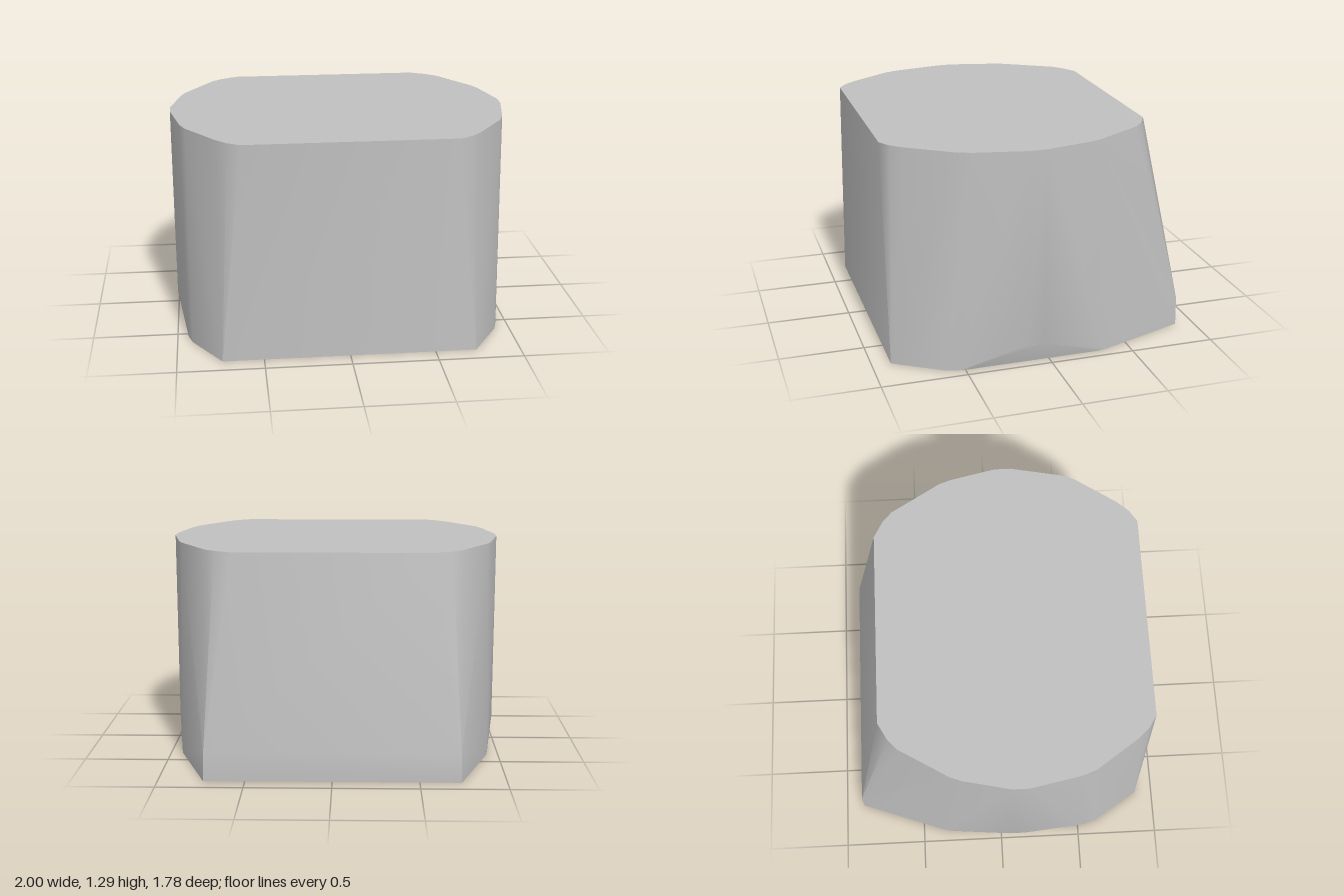
import * as THREE from 'three';
import { ConvexGeometry } from 'three/addons/geometries/ConvexGeometry.js';
import { toCreasedNormals } from 'three/addons/utils/BufferGeometryUtils.js';

// Right half of each horizontal section as [x, z], from front to back
const SECTIONS = [
  // foot outline
  { y: 0, half: [[0.74, 0.89], [0.91, 0.62], [0.935, 0.54], [0.94, 0.5], [0.94, -0.3], [0.93, -0.36], [0.74, -0.89]] },
  // side bulge and start of the sloping back
  { y: 0.13, half: [[1, 0.15], [1, 0.05]] },
  { y: 0.17, half: [[0.735, -0.89]] },
  // rounded top outline
  {
    y: 1.29,
    half: [[0.61, 0.89], [0.68, 0.845], [0.74, 0.78], [0.91, 0.53], [0.94, 0.45], [1, 0.15],
      [1, 0.05], [0.94, -0.22], [0.915, -0.29], [0.74, -0.58], [0.68, -0.635], [0.58, -0.69]],
  },
];

export function createModel() {
  const group = new THREE.Group();
  group.name = 'taperedBlock';

  const grey = new THREE.MeshStandardMaterial({ color: 0xc0c0c0 });
  grey.name = 'plain grey';

  // Mirror every section and wrap them in one solid
  const points = [];
  for (const { y, half } of SECTIONS) {
    for (const [x, z] of half) {
      points.push(new THREE.Vector3(x, y, z), new THREE.Vector3(-x, y, z));
    }
  }

  // Soft corners, sharp rims and front edges
  const body = new THREE.Mesh(toCreasedNormals(new ConvexGeometry(points), 0.6), grey);
  body.name = 'body';
  group.add(body);
  return group;
}
